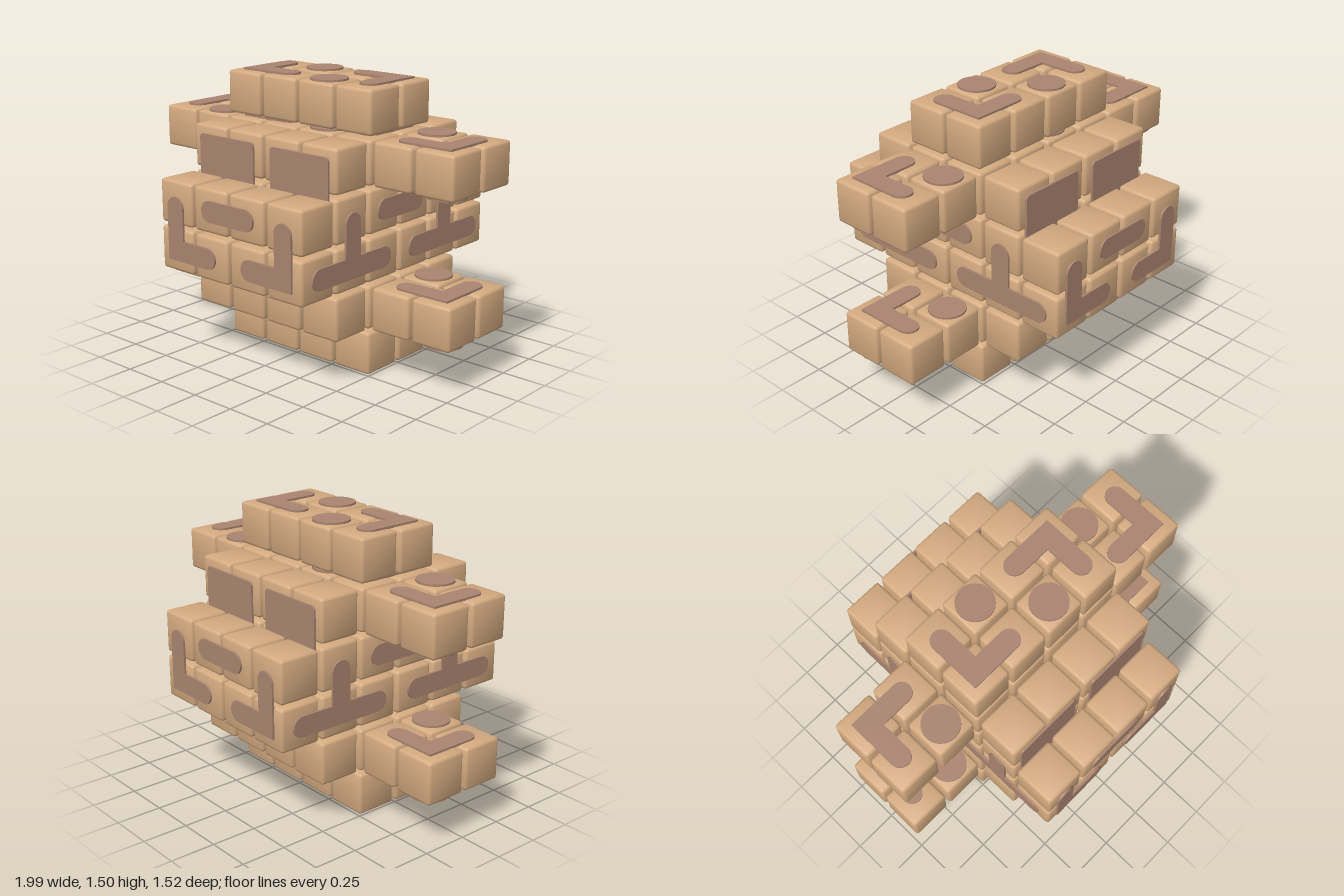
import * as THREE from 'three';
import { RoundedBoxGeometry } from 'three/addons/geometries/RoundedBoxGeometry.js';

const P = 0.2525, SIZE = 0.231, Y0 = 0.119; // block pitch, block size, first row height
const W = 0.056, DEPTH = 0.013;             // half width and thickness of the inlay strips
const X1 = P / 2, X2 = P * 1.5, X3 = P * 2.5 - 0.003, X4 = P * 3.5 - 0.002;
const rowY = (i) => Y0 + P * i;

export function createModel() {
  const root = new THREE.Group();
  root.name = 'blockSculpture';
  const tan = new THREE.MeshStandardMaterial({ color: 0xd4aa80 });
  tan.name = 'tanBlock';
  const brown = new THREE.MeshStandardMaterial({ color: 0xa98470 });
  brown.name = 'brownInlay';

  // Softly edged block, normals bulged a little for a pillowed look
  const block = new RoundedBoxGeometry(SIZE, SIZE, SIZE, 2, 0.016);
  const pos = block.attributes.position, nor = block.attributes.normal;
  const n = new THREE.Vector3(), p = new THREE.Vector3();
  for (let i = 0; i < pos.count; i++) {
    p.fromBufferAttribute(pos, i).multiplyScalar(0.3 / (SIZE / 2));
    n.fromBufferAttribute(nor, i).add(p).normalize();
    nor.setXYZ(i, n.x, n.y, n.z);
  }
  const addBlock = (name, x, y, z) => {
    const m = new THREE.Mesh(block, tan);
    m.name = name;
    m.position.set(x, y, z);
    root.add(m);
  };

  // Body: six rows, four blocks wide, stepped in depth
  const xs = [-X2, -X1, X1, X2];
  [1, 2, 3, 3, 2, 1].forEach((half, row) => {
    for (let k = -half; k < half; k++)
      for (const x of xs) addBlock('bodyBlock', x, rowY(row), (k + 0.5) * P);
  });
  // Wings: two by two blocks on each side of rows 1 and 4
  for (const row of [1, 4])
    for (const s of [-1, 1])
      for (const x of [X3, X4])
        for (const z of [-X1, X1]) addBlock('wingBlock', s * x, rowY(row), z);

  // Inlay outlines
  const ell = (sx, sy, a = 0.23) => {
    const s = new THREE.Shape();
    s.moveTo(-W, -W);
    s.lineTo(a, -W);
    s.absarc(a, 0, W, -Math.PI / 2, Math.PI / 2);
    s.lineTo(W, W);
    s.lineTo(W, a);
    s.absarc(0, a, W, 0, Math.PI);
    s.closePath();
    return new THREE.Shape(s.getPoints(10).map((q) => new THREE.Vector2(q.x * sx, q.y * sy)));
  };
  const pill = (h) => {
    const s = new THREE.Shape();
    s.absarc(h, 0, W, -Math.PI / 2, Math.PI / 2);
    s.absarc(-h, 0, W, Math.PI / 2, Math.PI * 1.5);
    return s;
  };
  const tee = () => {
    const s = new THREE.Shape(), h = 0.245;
    s.absarc(h, 0, W, -Math.PI / 2, Math.PI / 2);
    s.lineTo(W, W);
    s.absarc(0, 0.23, W, 0, Math.PI);
    s.lineTo(-W, W);
    s.absarc(-h, 0, W, Math.PI / 2, Math.PI * 1.5);
    return s;
  };
  const dot = () => new THREE.Shape().absarc(0, 0, 0.1, 0, Math.PI * 2);
  const square = () => {
    const s = new THREE.Shape(), a = 0.194, r = 0.02;
    [[1, -1], [1, 1], [-1, 1], [-1, -1]].forEach(([x, y], i) =>
      s.absarc(x * (a - r), y * (a - r), r, (i - 1) * Math.PI / 2, i * Math.PI / 2));
    return s;
  };

  // A face is a group whose local z points out of the surface
  const face = (name, x, y, z, rx, ry) => {
    const g = new THREE.Group();
    g.name = name;
    g.position.set(x, y, z);
    g.rotation.set(rx, ry, 0);
    root.add(g);
    return (part, shape, u, v) => {
      const geo = new THREE.ExtrudeGeometry(shape, { depth: DEPTH, bevelEnabled: false, curveSegments: 16 });
      const m = new THREE.Mesh(geo, brown);
      m.name = part;
      m.position.set(u, v, -0.002);
      g.add(m);
    };
  };
  const H = SIZE / 2;
  const up = (name, row) => face(name, 0, rowY(row) + H, 0, -Math.PI / 2, 0);
  const down = (name, row) => face(name, 0, rowY(row) - H, 0, Math.PI / 2, 0);

  // Crown, and the same pattern in the seams below it
  for (const row of [5, 4, 3, 0]) {
    const add = up('crownInlays', row);
    for (const s of [-1, 1]) {
      add('cornerInlay', ell(-s, -s), s * X2, s * X1);
      add('dotInlay', dot(), s * X1, -s * X1);
    }
  }
  // Seam under the widest rows
  const seam = up('seamInlays', 1);
  for (const sx of [-1, 1])
    for (const sz of [-1, 1]) seam('cornerInlay', ell(-sx, -sz), sx * X2, sz * X2);

  // Wing tops and undersides
  for (const row of [1, 4]) {
    const top = up('wingTopInlays', row), under = down('wingUnderInlays', row);
    for (const s of [-1, 1]) {
      top('cornerInlay', ell(-s, s), s * X4, -s * X1);
      top('dotInlay', dot(), s * X3, s * X1);
      under('cornerInlay', ell(s, s), s * X3, -s * X1);
      under('dotInlay', dot(), s * X4, s * X1);
    }
  }
  // Pills under the lower step
  const step = down('lowerStepInlays', 1);
  for (const sx of [-1, 1])
    for (const sz of [-1, 1]) step('pillInlay', pill(0.125), sx * P, sz * X2);

  // Front and back: corners, pill, square panels on the upper step, inner panel
  const mid = (rowY(2) + rowY(3)) / 2;
  for (const [name, s, ry] of [['front', 1, 0], ['back', -1, Math.PI]]) {
    const outer = face(name + 'Inlays', 0, 0, s * (P * 2.5 + H), 0, ry);
    const upper = face(name + 'StepPanels', 0, 0, s * (X2 + H), 0, ry);
    const inner = face(name + 'InnerPanel', 0, 0, s * (X1 + H), 0, ry);
    outer('pillInlay', pill(0.125), 0, rowY(3));
    inner('squarePanel', square(), 0, mid);
    for (const e of [-1, 1]) {
      outer('cornerInlay', ell(-e, 1), e * X2, rowY(2));
      upper('squarePanel', square(), e * P, mid + P);
    }
  }
  // Sides: two tees and a pill, inner panel
  for (const [name, s] of [['left', 1], ['right', -1]]) {
    const outer = face(name + 'SideInlays', s * (X2 + H), 0, 0, 0, s * Math.PI / 2);
    const inner = face(name + 'InnerPanel', s * (X1 + H), 0, 0, 0, s * Math.PI / 2);
    outer('pillInlay', pill(0.125), 0, rowY(3));
    inner('squarePanel', square(), 0, mid);
    for (const e of [-1, 1]) outer('teeInlay', tee(), e * X2, rowY(2));
  }
  return root;
}
